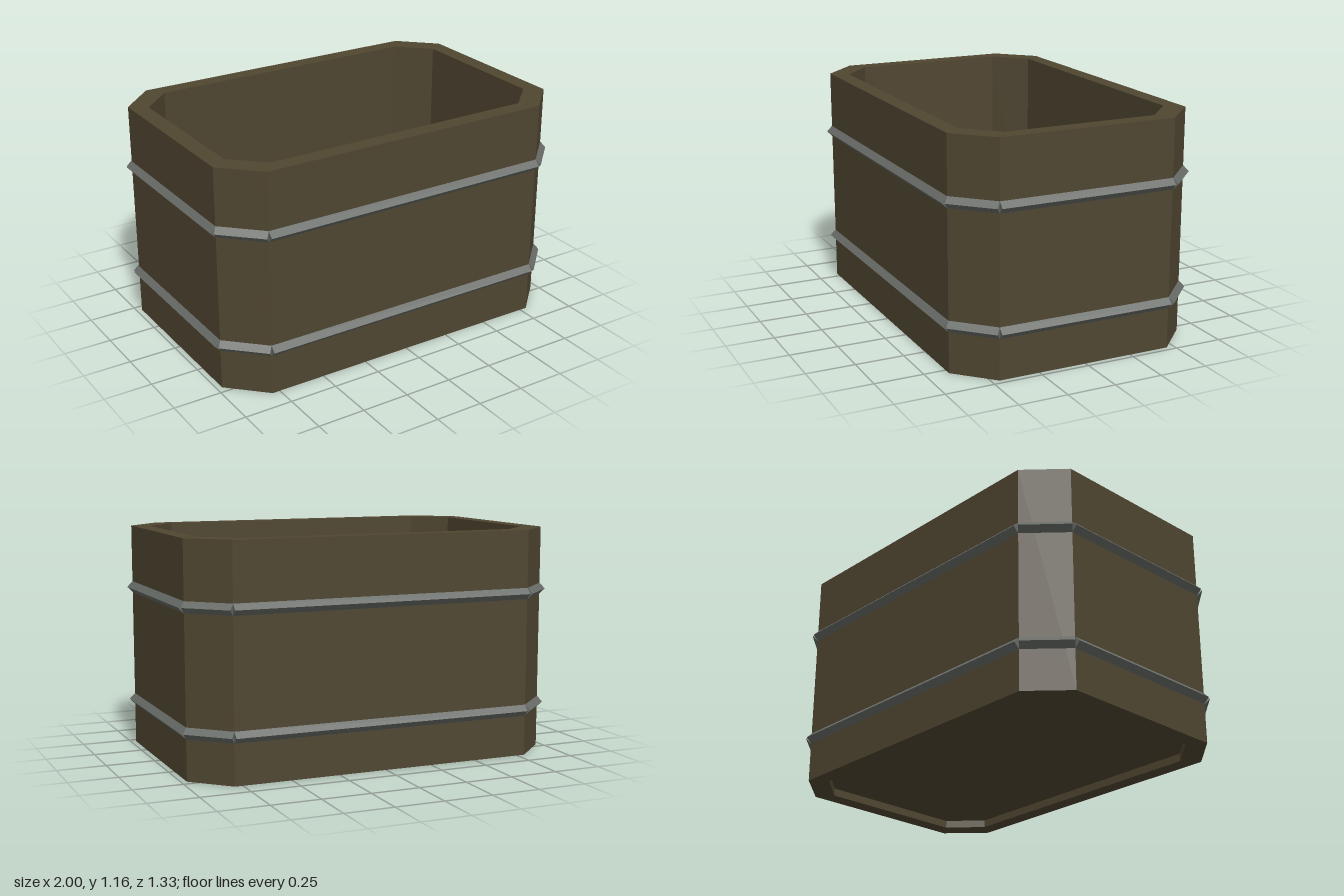
import * as THREE from 'three';

const WOOD = new THREE.MeshStandardMaterial({ color: 0x504631, flatShading: true });
const METAL = new THREE.MeshStandardMaterial({ color: 0x676b67, flatShading: true });
const GREEN = new THREE.MeshStandardMaterial({ color: 0x64724f, flatShading: true });
WOOD.name = 'wood';
METAL.name = 'metal';
GREEN.name = 'green';

// Counter-clockwise corners of a chamfered rectangle: half sizes and the inner ends of the chamfers
function octagon(x, z, cx, cz) {
  return [[-cx, z], [-x, cz], [-x, -cz], [-cx, -z], [cx, -z], [x, -cz], [x, cz], [cx, z]]
    .map(([a, b]) => new THREE.Vector2(a, b));
}

function slab(name, shape, y, height, material) {
  const geometry = new THREE.ExtrudeGeometry(shape, { depth: height, bevelEnabled: false });
  geometry.rotateX(-Math.PI / 2);
  const mesh = new THREE.Mesh(geometry, material);
  mesh.name = name;
  mesh.position.y = y;
  return mesh;
}

export function createModel() {
  const group = new THREE.Group();
  group.name = 'tub';
  const outer = octagon(0.972, 0.638, 0.79, 0.46);
  const inner = octagon(0.885, 0.553, 0.725, 0.4);

  // Thick walls; the hole runs clockwise so its faces look inward
  const wallShape = new THREE.Shape(outer);
  wallShape.holes.push(new THREE.Path([...inner].reverse()));
  group.add(slab('walls', wallShape, 0, 1.165, WOOD));

  // Recessed floor with a green lining on top
  const floorShape = new THREE.Shape(inner);
  group.add(slab('floor', floorShape, 0.04, 0.05, WOOD));
  const lining = new THREE.Mesh(new THREE.ShapeGeometry(floorShape), GREEN);
  lining.name = 'floorLining';
  lining.rotation.x = -Math.PI / 2;
  lining.position.y = 0.097;
  group.add(lining);

  // Two hoops, each made of eight diamond-section bars centred on the wall faces
  for (const [name, y] of [['lowerHoop', 0.236], ['upperHoop', 0.841]]) {
    const hoop = new THREE.Group();
    hoop.name = name;
    hoop.position.y = y;
    outer.forEach((a, i) => {
      const b = outer[(i + 1) % outer.length];
      const geometry = new THREE.CylinderGeometry(0.029, 0.029, a.distanceTo(b), 4);
      geometry.rotateZ(Math.PI / 2);
      const bar = new THREE.Mesh(geometry, METAL);
      bar.name = 'hoopBar';
      bar.position.set((a.x + b.x) / 2, 0, (a.y + b.y) / 2);
      bar.rotation.y = -Math.atan2(b.y - a.y, b.x - a.x);
      hoop.add(bar);
    });
    group.add(hoop);
  }
  return group;
}
